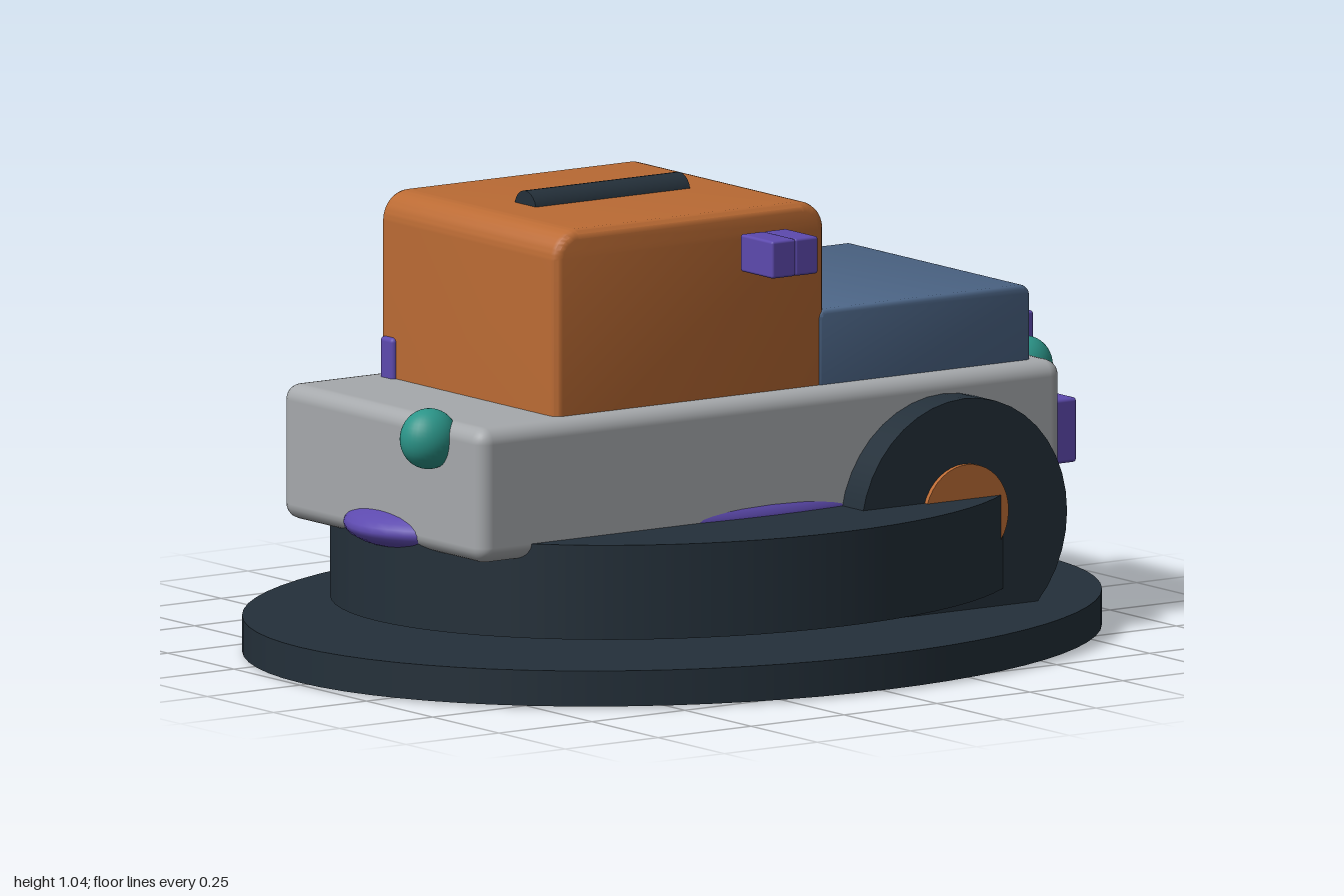
import * as THREE from 'three';
import { toCreasedNormals } from 'three/addons/utils/BufferGeometryUtils.js';
import { RoundedBoxGeometry } from 'three/addons/geometries/RoundedBoxGeometry.js';

const material = (name, color) => {
  const m = new THREE.MeshStandardMaterial({ color });
  m.name = name;
  return m;
};

export function createModel() {
  const group = new THREE.Group();
  const dark = material('charcoal', 0x24303a);
  const orange = material('orange', 0xbb6b34);
  const blue = material('slate blue', 0x4c6586);
  const grey = material('grey', 0xa6a9ac);
  const purple = material('purple', 0x5d4aae);
  const teal = material('teal', 0x2b9488);

  const add = (name, geometry, mat, x, y, z) => {
    const mesh = new THREE.Mesh(geometry, mat);
    mesh.name = name;
    mesh.position.set(x, y, z);
    group.add(mesh);
    return mesh;
  };

  // Rounded box given by its limits on each axis
  const box = (name, mat, [x0, x1], [y0, y1], [z0, z1], radius) =>
    add(name, new RoundedBoxGeometry(x1 - x0, y1 - y0, z1 - z0, 3, radius), mat,
      (x0 + x1) / 2, (y0 + y1) / 2, (z0 + z1) / 2);

  // Block with a rounded side profile and a small bevel on both flanks
  const block = (name, mat, [x0, x1], [y0, y1], halfDepth, corner, bevel) => {
    const l = x0 + bevel, r = x1 - bevel, b = y0 + bevel, t = y1 - bevel;
    const c = corner - bevel;
    const s = new THREE.Shape();
    s.moveTo(l, b);
    s.lineTo(r, b);
    s.lineTo(r, t - c);
    s.absarc(r - c, t - c, c, 0, Math.PI / 2, false);
    s.lineTo(l + c, t);
    s.absarc(l + c, t - c, c, Math.PI / 2, Math.PI, false);
    s.closePath();
    const depth = 2 * (halfDepth - bevel);
    const g = new THREE.ExtrudeGeometry(s, {
      depth, curveSegments: 8, bevelEnabled: true,
      bevelSize: bevel, bevelThickness: bevel, bevelSegments: 3,
    });
    g.translate(0, 0, -depth / 2);
    return add(name, toCreasedNormals(g, 0.7), mat, 0, 0, 0);
  };

  // Oval base and the raised oval skirt above it
  const oval = (name, rx, rz, y0, y1) => {
    const g = new THREE.CylinderGeometry(1, 1, y1 - y0, 72);
    g.scale(rx, 1, rz);
    add(name, g, dark, 0, (y0 + y1) / 2, 0);
  };
  oval('base', 1, 0.816, 0.008, 0.087);
  oval('skirt', 0.795, 0.65, 0.125, 0.335);

  // Body, cabin and hood
  box('body', grey, [-0.785, 0.785], [0.3, 0.6], [-0.378, 0.378], 0.035);
  block('cabin', orange, [-0.55, 0.177], [0.5, 1.01], 0.332, 0.065, 0.02);
  block('hood', blue, [0.155, 0.727], [0.5, 0.767], 0.334, 0.025, 0.01);

  // Roof bar
  const bar = new THREE.CylinderGeometry(0.041, 0.041, 0.415, 24);
  bar.rotateZ(Math.PI / 2);
  add('roofBar', bar, dark, -0.187, 1.0, 0);

  // Flattened belly that breaks through the body on all four sides
  const belly = new THREE.SphereGeometry(1, 64, 32);
  belly.scale(0.84, 0.112, 0.39);
  add('belly', belly, purple, 0, 0.33, 0);

  // Bumper and grille on the hood end
  box('bumper', purple, [0.785, 0.855], [0.358, 0.502], [-0.33, 0.33], 0.008);
  box('grille', purple, [0.805, 0.845], [0.48, 0.675], [-0.18, 0.18], 0.006);

  // Lamps at both ends
  for (const side of [-1, 1]) {
    const lamp = new THREE.SphereGeometry(1, 32, 20);
    lamp.scale(0.067, 0.067, 0.058);
    add(side > 0 ? 'frontLamp' : 'rearLamp', lamp, teal, side * 0.8, 0.56, 0.205);
  }

  // Mirror made of two joined halves
  box('mirrorHalf1', purple, [-0.063, 0.001], [0.877, 0.96], [0.345, 0.467], 0.006);
  box('mirrorHalf2', purple, [-0.001, 0.061], [0.877, 0.96], [0.345, 0.467], 0.006);

  // Small post at the rear corner of the cabin
  box('cornerPost', purple, [-0.56, -0.5], [0.55, 0.69], [-0.32, -0.27], 0.01);

  // Wheel and hub
  const disc = (name, mat, r, z0, z1, y) => {
    const g = new THREE.CylinderGeometry(r, r, z1 - z0, 40);
    g.rotateX(Math.PI / 2);
    add(name, g, mat, 0.46, y, (z0 + z1) / 2);
  };
  disc('tyre', dark, 0.277, 0.3, 0.457, 0.28);
  disc('hub', orange, 0.112, 0.32, 0.468, 0.3);

  return group;
}
